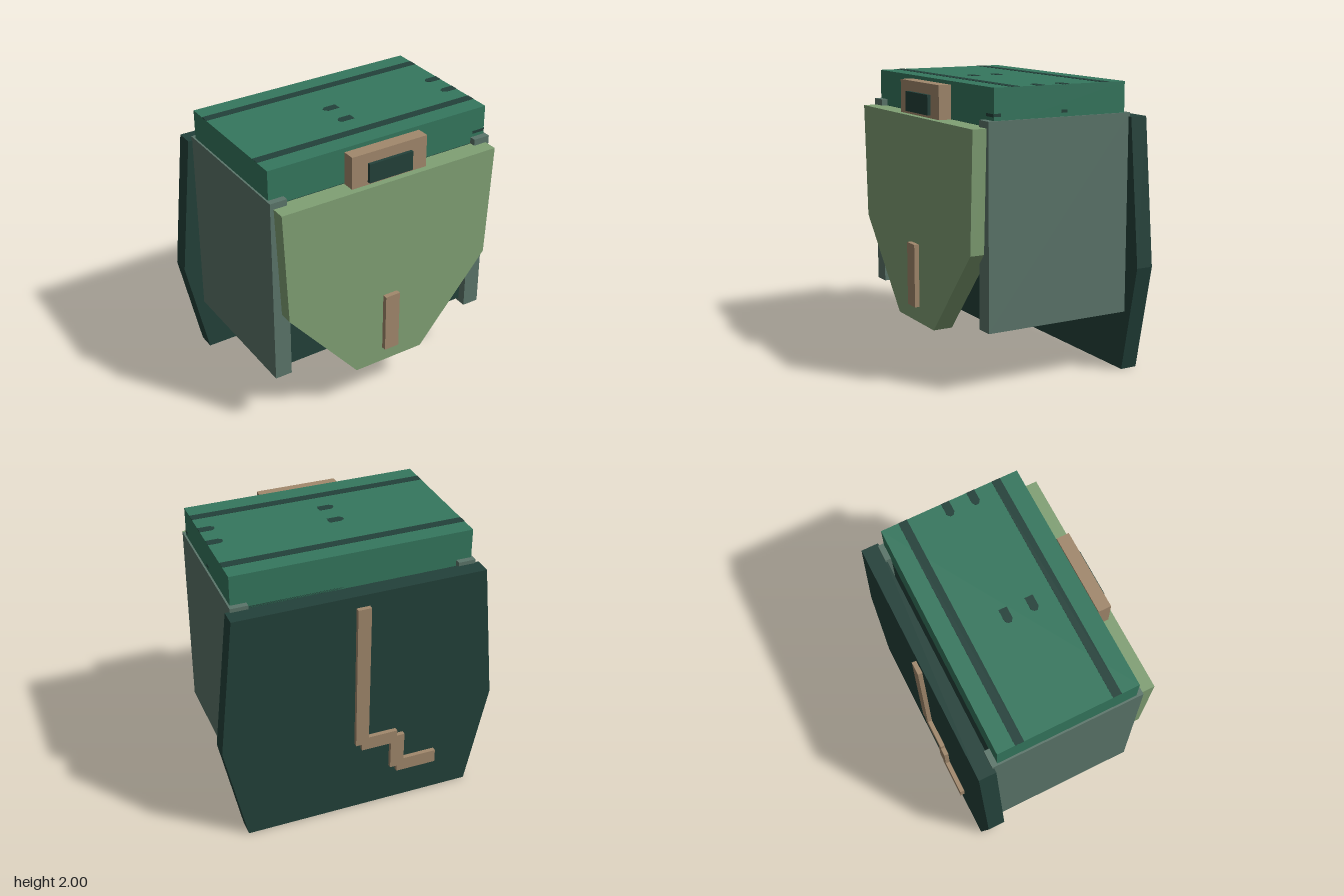
import * as THREE from 'three';

const mat = (name, color) => {
  const m = new THREE.MeshStandardMaterial({ color });
  m.name = name;
  return m;
};

export function createModel() {
  const teal = mat('teal', 0x35775e);
  const dark = mat('darkGreen', 0x23413a);
  const grey = mat('greyGreen', 0x5b756a);
  const olive = mat('lightOlive', 0x80a074);
  const tan = mat('tan', 0xa1886c);

  const group = new THREE.Group();
  group.name = 'backpack';

  const add = (name, geometry, material) => {
    const mesh = new THREE.Mesh(geometry, material);
    mesh.name = name;
    group.add(mesh);
    return mesh;
  };

  // Box given by its limits on each axis
  const box = (name, material, [x0, x1], [y0, y1], [z0, z1]) => {
    const mesh = add(name, new THREE.BoxGeometry(x1 - x0, y1 - y0, z1 - z0), material);
    mesh.position.set((x0 + x1) / 2, (y0 + y1) / 2, (z0 + z1) / 2);
    return mesh;
  };

  // Plate with a mirrored outline, right half given bottom to top
  const plate = (name, material, half, z0, z1) => {
    const mirrored = half.map(([x, y]) => [-x, y]).reverse();
    const shape = new THREE.Shape([...half, ...mirrored].map(([x, y]) => new THREE.Vector2(x, y)));
    const geometry = new THREE.ExtrudeGeometry(shape, { depth: z1 - z0, bevelEnabled: false });
    add(name, geometry.translate(0, 0, z0), material);
  };

  // Main shell
  box('body', dark, [-0.725, 0.725], [0.46, 1.76], [-0.495, 0.495]);
  box('lid', teal, [-0.845, 0.845], [1.745, 1.998], [-0.495, 0.5]);
  box('leftSidePanel', grey, [0.735, 0.858], [0.42, 1.79], [-0.535, 0.545]);
  box('rightSidePanel', grey, [-0.858, -0.735], [0.42, 1.79], [-0.535, 0.545]);
  plate('backPanel', dark, [[0.835, 0], [0.993, 0.75], [0.888, 1.763]], -0.645, -0.523);
  plate('frontFlap', olive, [[0.27, 0.306], [0.797, 0.93], [0.833, 1.745]], 0.505, 0.645);

  // Clasp and front strip
  box('clasp', tan, [-0.29, 0.29], [1.7, 1.975], [0.51, 0.6]);
  box('claspInset', dark, [-0.17, 0.167], [1.765, 1.902], [0.59, 0.623]);
  box('frontStrip', tan, [-0.058, 0.055], [0.42, 0.865], [0.64, 0.68]);

  // Stepped strip on the back
  const steps = [
    [[-0.05, 0.045], [0.57, 1.675]],
    [[-0.265, 0], [0.52, 0.62]],
    [[-0.322, -0.22], [0.302, 0.575]],
    [[-0.57, -0.27], [0.255, 0.355]],
  ];
  steps.forEach(([x, y], i) => box(`backStrip${i + 1}`, tan, x, y, [-0.677, -0.64]));

  // Painted bands and small marks on the lid
  for (const z of [-0.34, 0.342]) {
    box('lidBand', dark, [-0.845, 0.845], [1.995, 2], [z - 0.031, z + 0.031]);
  }
  for (const x of [0, 0.845]) {
    for (const z of [-0.032, 0.154]) {
      const s = 0.029;
      const outline = [[0, -s], [0, s], [-0.085, s], [-0.108, 0.012], [-0.108, -0.012], [-0.085, -s]];
      const shape = new THREE.Shape(outline.map(([a, b]) => new THREE.Vector2(a, b)));
      const geometry = new THREE.ExtrudeGeometry(shape, { depth: 0.005, bevelEnabled: false });
      add('lidMark', geometry.rotateX(-Math.PI / 2).translate(x, 1.995, z), dark);
    }
  }
  box('lidFrontMark', dark, [0.75, 0.843], [1.813, 1.833], [0.498, 0.502]);
  box('lidSideMark', dark, [0.843, 0.847], [1.815, 1.835], [0.45, 0.5]);
  box('lidSideMark', dark, [0.843, 0.847], [1.815, 1.835], [-0.045, 0]);

  return group;
}
